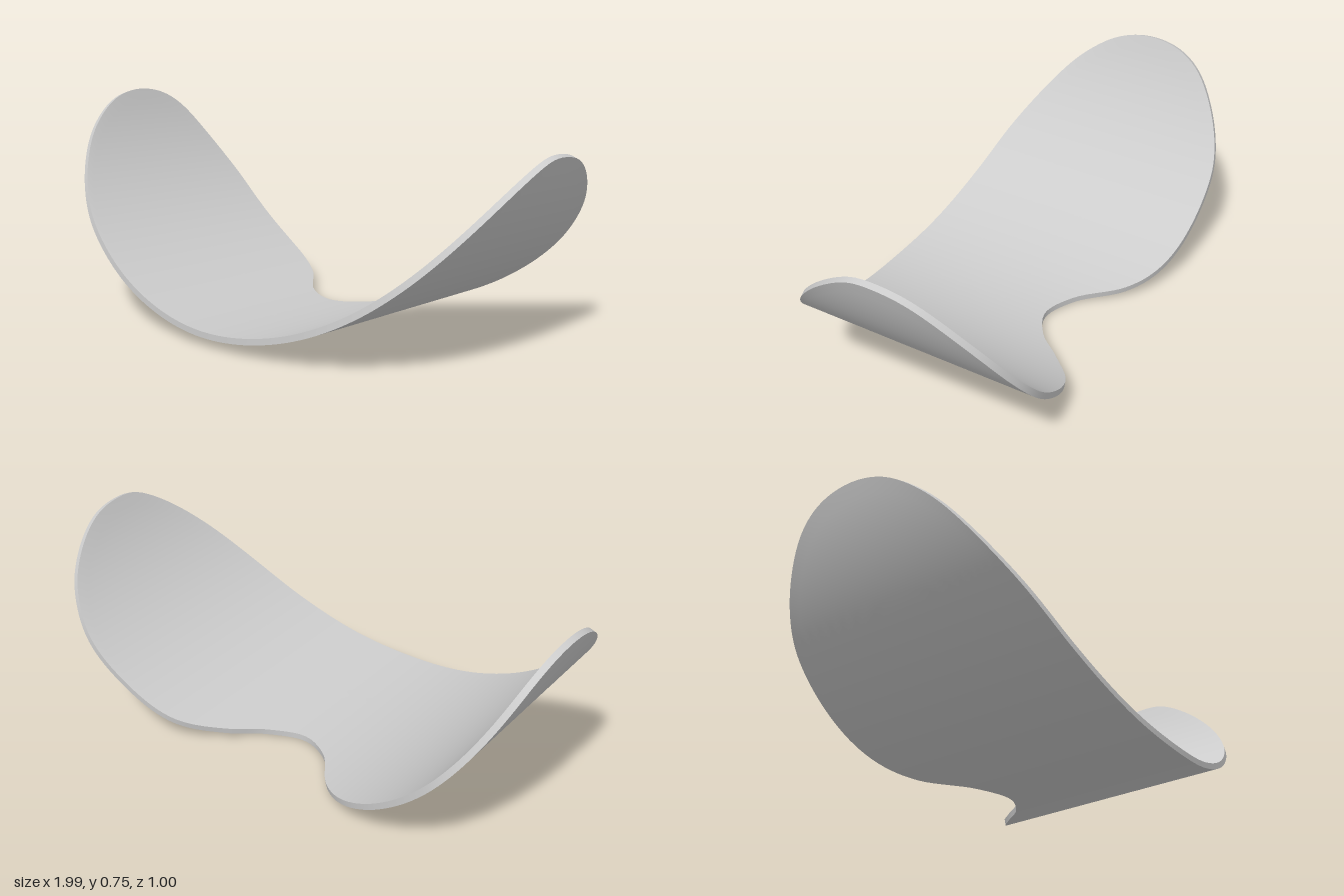
import * as THREE from 'three';
import { toCreasedNormals } from 'three/addons/utils/BufferGeometryUtils.js';

const RADIUS = 1.05, THICKNESS = 0.022, TILT = 0.055, LIFT = 0.0095;
const SEGMENTS = 240, RINGS = 24;

// Outline of the unrolled sheet: angle around the bend (degrees), depth z
const OUTLINE = [
  [0, 0.5], [15, 0.48], [29.1, 0.44], [43, 0.37], [54, 0.27], [63, 0.136], [68.7, 0], [69.9, -0.07],
  [69.2, -0.2], [66.2, -0.3], [59.5, -0.415], [52.6, -0.475], [46, -0.502], [36.2, -0.495], [22.4, -0.447],
  [13.4, -0.33], [7.4, -0.227], [0, -0.168], [-7.1, -0.22], [-14.6, -0.37], [-20.6, -0.44], [-28.7, -0.484],
  [-43.3, -0.505], [-51, -0.492], [-60.3, -0.43], [-68.3, -0.335], [-71.8, -0.24], [-72.9, -0.113],
  [-71.2, 0.016], [-65.8, 0.15], [-58, 0.26], [-45.3, 0.375], [-32.2, 0.436], [-16, 0.48],
];

// Bend a point of the flat sheet onto the tilted cylinder, a given depth below its outer skin
function bend(angle, z, depth) {
  const r = RADIUS - depth;
  return [r * Math.sin(angle), RADIUS - r * Math.cos(angle) + TILT * z + LIFT, z];
}

function curvedShell() {
  const curve = new THREE.CatmullRomCurve3(
    OUTLINE.map(([deg, z]) => new THREE.Vector3(THREE.MathUtils.degToRad(deg), z, 0)), true, 'centripetal');
  const rim = curve.getSpacedPoints(SEGMENTS).slice(0, SEGMENTS);
  const centreZ = 0.15;

  // Cross-section from the outer centre, over the rim, back to the inner centre
  const section = [];
  for (let i = 0; i <= RINGS; i++) section.push([i / RINGS, 0]);
  for (let i = RINGS; i >= 0; i--) section.push([i / RINGS, THICKNESS]);

  const positions = [], index = [];
  section.forEach(([scale, depth], i) => {
    rim.forEach((p, j) => {
      positions.push(...bend(p.x * scale, centreZ + (p.y - centreZ) * scale, depth));
      if (i === section.length - 1) return;
      const k = (j + 1) % SEGMENTS;
      const a = i * SEGMENTS + j, b = i * SEGMENTS + k;
      const c = b + SEGMENTS, d = a + SEGMENTS;
      if (i > 0) index.push(a, b, c);
      if (i < section.length - 2) index.push(a, c, d);
      // Close the inner centre with single triangles
    });
  });
  const geometry = new THREE.BufferGeometry();
  geometry.setAttribute('position', new THREE.Float32BufferAttribute(positions, 3));
  geometry.setIndex(index);
  return toCreasedNormals(geometry, 0.6);
}

export function createModel() {
  const group = new THREE.Group();
  group.name = 'curvedPlate';
  const shell = new THREE.Mesh(curvedShell(), new THREE.MeshStandardMaterial({ color: 0xcccccc }));
  shell.name = 'curvedShell';
  group.add(shell);
  return group;
}
